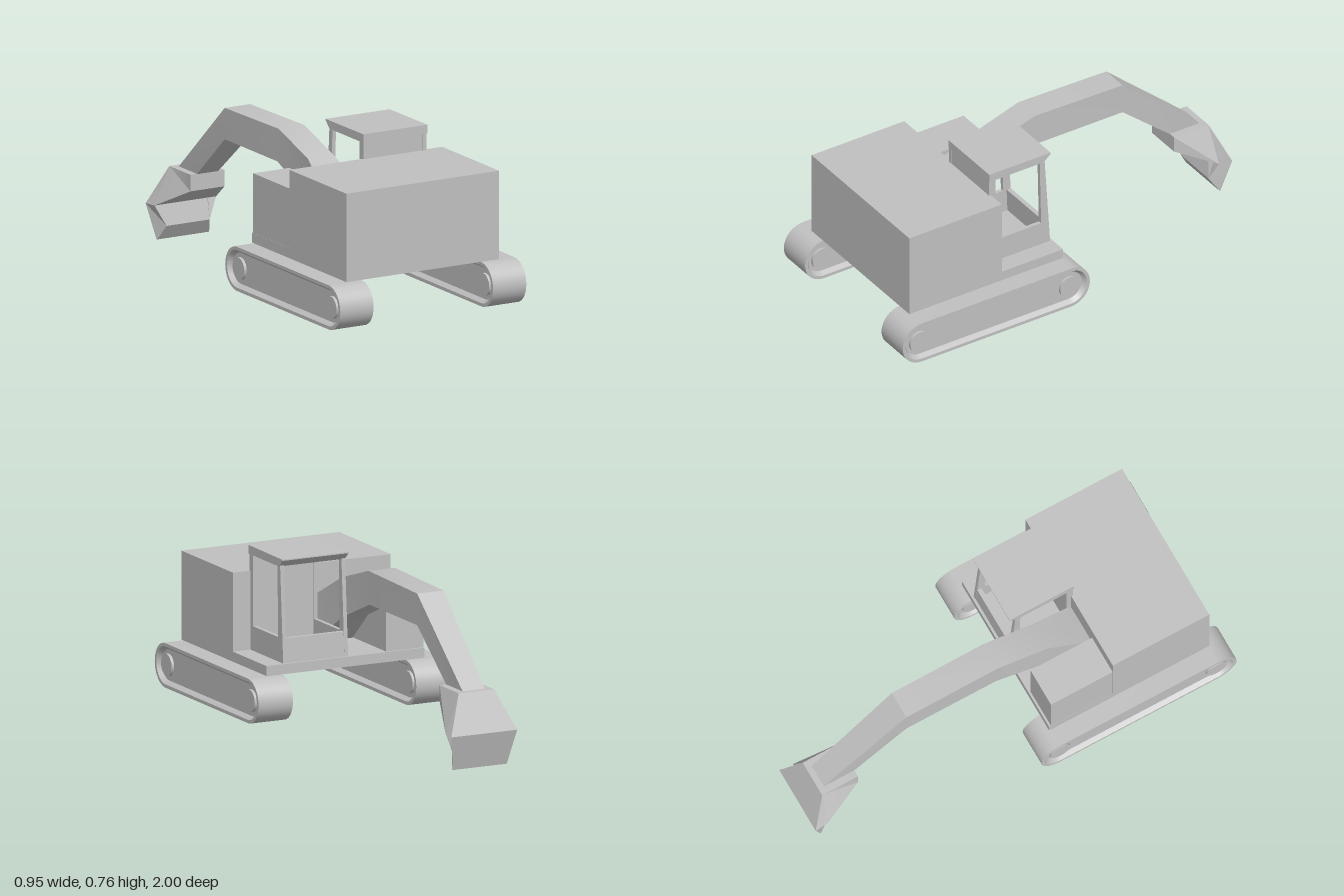
import * as THREE from 'three';
import { toCreasedNormals } from 'three/addons/utils/BufferGeometryUtils.js';

const grey = new THREE.MeshStandardMaterial({ color: 0xc0c0c0 });
grey.name = 'grey';

function add(parent, name, geometry) {
  const mesh = new THREE.Mesh(geometry, grey);
  mesh.name = name;
  parent.add(mesh);
  return mesh;
}

// Box given by its lower and upper limits
function block([x0, x1], [y0, y1], [z0, z1]) {
  return new THREE.BoxGeometry(x1 - x0, y1 - y0, z1 - z0)
    .translate((x0 + x1) / 2, (y0 + y1) / 2, (z0 + z1) / 2);
}

// Side profile of [z, y] points extruded from x0 to x1, with an optional opening
function slab(points, x0, x1, hole) {
  const toPoints = (list) => list.map(([z, y]) => new THREE.Vector2(z, y));
  const shape = new THREE.Shape(toPoints(points));
  if (hole) shape.holes.push(new THREE.Path(toPoints(hole)));
  return new THREE.ExtrudeGeometry(shape, { depth: x1 - x0, bevelEnabled: false })
    .rotateY(-Math.PI / 2).translate(x1, 0, 0);
}

// Skin over equal rings of points, closed at both ends
function loft(rings) {
  const out = [];
  const n = rings[0].length;
  const tri = (...pts) => pts.forEach((p) => out.push(p.x, p.y, p.z));
  for (let i = 0; i < rings.length - 1; i++) {
    const a = rings[i], b = rings[i + 1];
    for (let j = 0; j < n; j++) {
      const k = (j + 1) % n;
      tri(a[j], a[k], b[k]);
      tri(a[j], b[k], b[j]);
    }
  }
  const middle = (r) => r.reduce((s, p) => s.add(p), new THREE.Vector3()).divideScalar(n);
  const first = rings[0], last = rings[rings.length - 1];
  const c0 = middle(first), c1 = middle(last);
  for (let j = 0; j < n; j++) {
    const k = (j + 1) % n;
    tri(c0, first[k], first[j]);
    tri(c1, last[j], last[k]);
  }
  const g = new THREE.BufferGeometry();
  g.setAttribute('position', new THREE.Float32BufferAttribute(out, 3));
  return toCreasedNormals(g, 0.4);
}

// Four-cornered section: top z, y, half width, then bottom z, y, half width
function section(cx, [zt, yt, wt, zb, yb, wb]) {
  return [
    new THREE.Vector3(cx + wb, yb, zb), new THREE.Vector3(cx - wb, yb, zb),
    new THREE.Vector3(cx - wt, yt, zt), new THREE.Vector3(cx + wt, yt, zt),
  ];
}

// Rounded track outline of radius r at one x
function trackRing(x, r) {
  const ring = [];
  for (const [zc, start] of [[0.12, -Math.PI / 2], [0.9, Math.PI / 2]]) {
    for (let i = 0; i <= 20; i++) {
      const a = start + (Math.PI * i) / 20;
      ring.push(new THREE.Vector3(x, 0.14 + r * Math.sin(a), zc - r * Math.cos(a)));
    }
  }
  return ring;
}

export function createModel() {
  const model = new THREE.Group();
  model.name = 'excavator';

  // Tracks with recessed sides and end wheels
  for (const side of [-1, 1]) {
    const track = new THREE.Group();
    track.name = side > 0 ? 'leftTrack' : 'rightTrack';
    track.position.x = side * 0.39;
    const h = 0.085;
    const steps = [[-h + 0.02, 0.07], [-h, 0.085], [-h, 0.1], [h, 0.1], [h, 0.085], [h - 0.02, 0.07]];
    add(track, 'trackBelt', loft(steps.map(([x, r]) => trackRing(x, r))));
    for (const z of [0.12, 0.905]) {
      const wheel = new THREE.CylinderGeometry(0.05, 0.05, 0.155, 32).rotateZ(Math.PI / 2);
      add(track, 'trackWheel', wheel.translate(0, 0.14, z));
    }
    model.add(track);
  }

  // Deck, engine housing and side tank
  add(model, 'deck', block([-0.39, 0.39], [0.245, 0.29], [0.105, 0.9]));
  add(model, 'engineHousing', block([-0.39, 0.39], [0.245, 0.645], [0.425, 0.91]));
  add(model, 'sideTank', block([-0.389, -0.205], [0.28, 0.56], [0.115, 0.43]));

  // Cab with open windows
  const cab = new THREE.Group();
  cab.name = 'cab';
  const wall = [[0.435, 0.28], [0.115, 0.28], [0.145, 0.73], [0.435, 0.73]];
  const opening = [[0.402, 0.4], [0.402, 0.72], [0.17, 0.72], [0.163, 0.4]];
  for (const x of [-0.018, 0.285]) add(cab, 'cabSide', slab(wall, x, x + 0.018, opening));
  add(cab, 'cabBack', block([-0.01, 0.295], [0.28, 0.74], [0.41, 0.434]));
  add(cab, 'cabFrontPanel',
    slab([[0.14, 0.28], [0.116, 0.28], [0.124, 0.4], [0.145, 0.4]], -0.01, 0.295));
  add(cab, 'cabRoof',
    slab([[0.437, 0.72], [0.15, 0.72], [0.115, 0.752], [0.115, 0.757], [0.437, 0.759]], -0.02, 0.307));
  model.add(cab);

  // Boom and stick as one bent arm
  const arm = [
    [0.43, 0.5, 0.095, 0.43, 0.285, 0.095],
    [0.22, 0.62, 0.066, 0.22, 0.44, 0.066],
    [-0.03, 0.7, 0.065, -0.04, 0.55, 0.065],
    [-0.49, 0.692, 0.065, -0.49, 0.55, 0.065],
    [-0.91, 0.325, 0.054, -0.755, 0.325, 0.054],
  ];
  add(model, 'arm', loft(arm.map((s) => section(-0.107, s))));

  // Bucket curling down to its lip
  const bucket = [
    [-0.745, 0.335, 0.087, -0.745, 0.26, 0.087],
    [-0.925, 0.335, 0.087, -0.935, 0.163, 0.157],
    [-1.0, 0.16, 0.163, -0.91, 0.07, 0.11],
    [-0.958, 0.002, 0.133, -0.953, 0.002, 0.133],
  ];
  add(model, 'bucket', loft(bucket.map((s) => section(-0.107, s))));

  return model;
}
